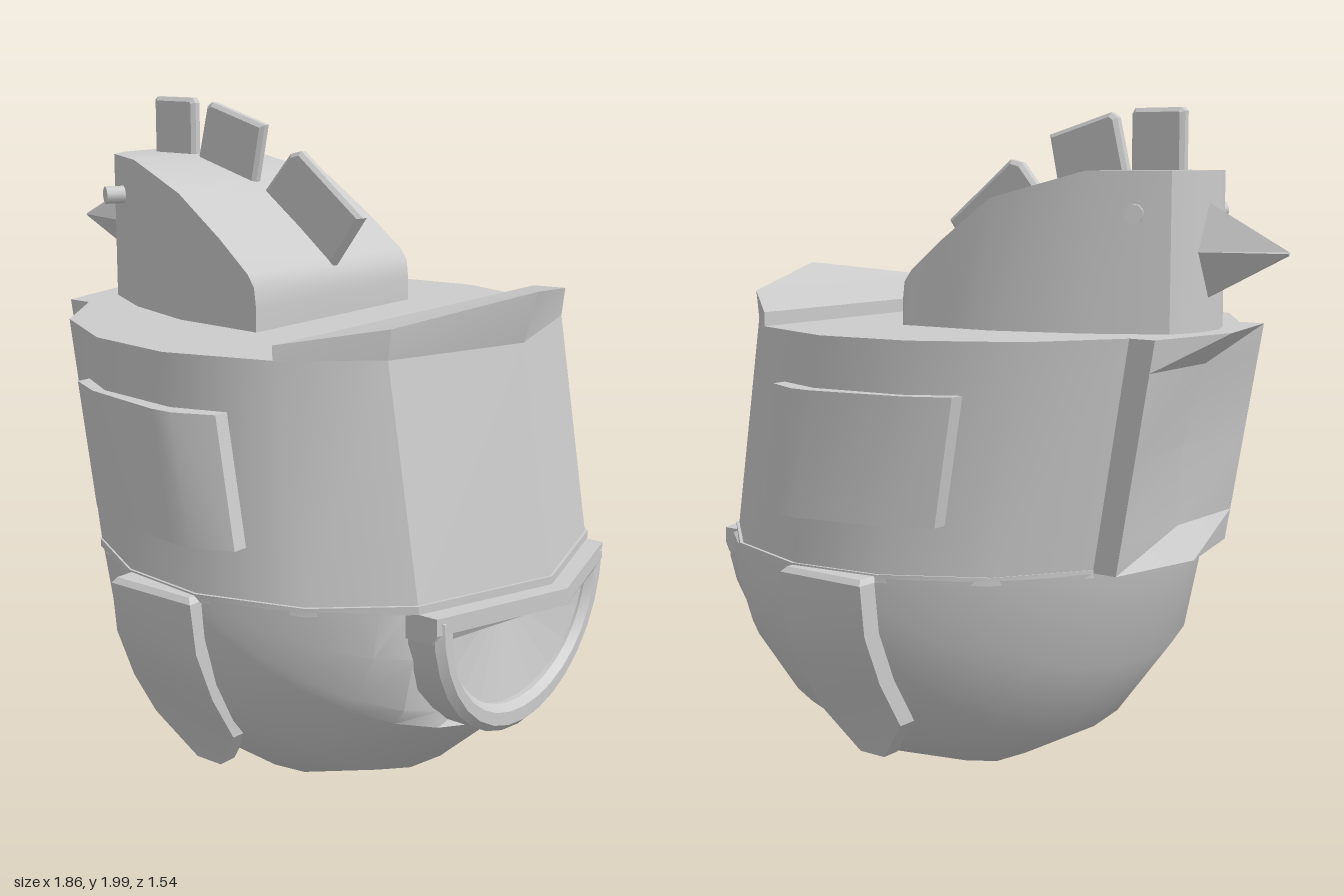
import * as THREE from 'three';
import { toCreasedNormals } from 'three/addons/utils/BufferGeometryUtils.js';
import { ParametricGeometry } from 'three/addons/geometries/ParametricGeometry.js';

const grey = new THREE.MeshStandardMaterial({ color: 0xcccccc });
const thin = new THREE.MeshStandardMaterial({ color: 0xcccccc, side: THREE.DoubleSide });

// Closed solid through matching cross-sections, capped at both ends, facing outward
function loft(rings, crease = 0.5) {
  const n = rings[0].length;
  const tris = [];
  const mid = (ring) => [0, 1, 2].map((k) => ring.reduce((s, p) => s + p[k], 0) / n);
  const first = rings[0], last = rings[rings.length - 1];
  const c0 = mid(first), c1 = mid(last);
  for (let j = 0; j < n; j++) {
    const k = (j + 1) % n;
    for (let i = 0; i + 1 < rings.length; i++) {
      const a = rings[i], b = rings[i + 1];
      tris.push([a[j], a[k], b[k]], [a[j], b[k], b[j]]);
    }
    tris.push([c0, first[k], first[j]], [c1, last[j], last[k]]);
  }
  const v = (p) => new THREE.Vector3(...p);
  const volume = tris.reduce((s, [a, b, c]) => s + v(a).dot(v(b).cross(v(c))), 0);
  if (volume < 0) tris.forEach((t) => t.reverse());
  const geo = new THREE.BufferGeometry();
  geo.setAttribute('position', new THREE.Float32BufferAttribute(tris.flat(2), 3));
  geo.computeVertexNormals();
  return toCreasedNormals(geo, crease);
}

export function createModel() {
  const model = new THREE.Group();
  const add = (name, geo, material = grey) => {
    const mesh = new THREE.Mesh(geo, material);
    mesh.name = name;
    model.add(mesh);
    return mesh;
  };

  // Upper body: a faceted drum leaning forward, with a ridge at the back
  const half = [[-0.62, 0.3], [-0.45, 0.54], [-0.18, 0.69], [0.1, 0.725], [0.4, 0.63], [0.62, 0.43]];
  const outline = [...half, [0.76, 0], ...half.map(([x, z]) => [x, -z]).reverse()];
  const bodyRing = (y, dx) => outline.map(([x, z]) => [x + dx, y, z]);
  add('upperBody', loft([bodyRing(0.735, 0.11), bodyRing(1.39, 0)]));

  // Raised tail with a flared rim
  const tailRing = (pts) => [...pts, ...pts.slice(0, 2).map(([x, y, z]) => [x, y, -z]).reverse()];
  add('tail', loft([
    tailRing([[0.4, 1.385, 0.63], [0.62, 1.385, 0.43], [0.76, 1.385, 0]]),
    tailRing([[0.4, 1.43, 0.63], [0.63, 1.47, 0.43], [0.8, 1.53, 0]]),
  ], 0.3));

  // Rounded belly, set back flat behind the rear scoop
  const angles = [180, 205, 230, 253, 276, 300, 324, 329, 345, 360];
  const bowl = new ParametricGeometry((u, v, out) => {
    const deg = angles[Math.round(u * 9)];
    const a = THREE.MathUtils.degToRad(deg);
    const s = Math.sin(v * Math.PI);
    const x = 0.15 + 0.73 * s * Math.cos(a);
    out.set(deg > 324 ? Math.min(x, 0.7) : x, 0.735 + 0.73 * s * Math.sin(a), -0.73 * Math.cos(v * Math.PI));
  }, 9, 16);
  add('belly', toCreasedNormals(bowl, 0.6), thin);

  // Thin seam between belly and upper body
  add('seam', loft([bodyRing(0.722, 0.112), bodyRing(0.745, 0.112)].map((ring) =>
    ring.map(([x, y, z]) => [0.15 + (x - 0.15) * 1.006, y, z * 1.012]))));

  // Breast plate with projecting lips above and below
  add('breastPlate', loft([
    [1.39, -0.7, -0.765], [1.3, -0.684, -0.68], [1.06, -0.642, -0.61],
    [0.83, -0.602, -0.6], [0.735, -0.585, -0.655],
  ].map(([y, x, tip]) => [[x + 0.1, y, 0.3], [x, y, 0.3], [tip, y, 0], [x, y, -0.3], [x + 0.1, y, -0.3]]), 0.3));

  // Head: vertical sides, roof sloping down to the rear
  add('head', loft([
    [-0.685, 0.06, 1.83], [-0.65, 0.145, 1.83], [-0.45, 0.26, 1.83], [-0.19, 0.345, 1.755],
    [-0.03, 0.352, 1.64], [0.08, 0.358, 1.55], [0.105, 0.36, 1.515], [0.112, 0.36, 1.46],
  ].map(([x, w, y]) => [[x, 1.385, w], [x, y, w], [x, y, -w], [x, 1.385, -w]]), 0.6));

  // Beak
  add('beak', loft([
    [[-0.66, 1.755, 0], [-0.66, 1.61, 0.065], [-0.66, 1.47, 0], [-0.66, 1.61, -0.065]],
    [[-0.93, 1.615, 0], [-0.93, 1.61, 0.005], [-0.93, 1.605, 0], [-0.93, 1.61, -0.005]],
  ], 0.2));

  // Comb: three thin bevelled plates
  [
    [[-0.62, 1.81], [-0.62, 1.99], [-0.61, 2], [-0.46, 2], [-0.45, 1.985], [-0.45, 1.81]],
    [[-0.44, 1.81], [-0.4, 1.975], [-0.38, 1.99], [-0.17, 1.93], [-0.21, 1.74]],
    [[-0.17, 1.735], [-0.07, 1.85], [-0.03, 1.86], [0.2, 1.68], [0.09, 1.53]],
  ].forEach((pts) => {
    const shape = new THREE.Shape(pts.map(([x, y]) => new THREE.Vector2(x, y)));
    const geo = new THREE.ExtrudeGeometry(shape, {
      depth: 0.018, bevelThickness: 0.01, bevelSize: 0.012, bevelOffset: -0.012, bevelSegments: 1,
    });
    add('combPlate', geo.translate(0, 0, -0.03));
  });

  // Rear scoop: half-round frame
  const arc = (cy, rx, ry) => Array.from({ length: 17 }, (_, i) => {
    const a = Math.PI + (i / 16) * Math.PI;
    return new THREE.Vector2(rx * Math.cos(a), cy + ry * Math.sin(a));
  });
  const frame = new THREE.Shape(arc(0.71, 0.42, 0.42));
  frame.holes.push(new THREE.Path(arc(0.66, 0.36, 0.31)));
  const frameGeo = new THREE.ExtrudeGeometry(frame, {
    depth: 0.1, bevelThickness: 0.02, bevelSize: 0.02, bevelOffset: -0.01, bevelSegments: 1,
  });
  add('scoopFrame', toCreasedNormals(frameGeo.rotateY(Math.PI / 2).translate(0.68, 0, 0), 0.5));

  // Pointed lip across the top of the scoop
  add('scoopLip', loft([[0.72, 0], [0.672, 0], [0.645, -0.07]].map(([y, dx]) => [
    [0.66, y, 0.43], [0.79 + dx * 0.2, y, 0.43], [0.925 + dx, y, 0],
    [0.79 + dx * 0.2, y, -0.43], [0.66, y, -0.43],
  ]), 0.3));

  // Fan of facets sunk into the scoop
  const fan = new THREE.ConeGeometry(0.36, 0.06, 10, 1, true, 0, Math.PI).toNonIndexed();
  fan.computeVertexNormals();
  fan.rotateZ(-Math.PI / 2).rotateX(0).translate(0, 0.65, 0);
  fan.scale(-1, 1, 1).translate(0.745, 0, 0);
  add('scoopFan', fan, thin);

  for (const s of [1, -1]) {
    // Wing panel wrapped around the upper side
    const wing = [[-0.3, 0.655], [-0.18, 0.715], [0.1, 0.77], [0.17, 0.768], [0.282, 0.72]];
    add('wingPanel', loft(wing.map(([x, z]) => [
      [x, 1.245, s * z], [x + 0.062, 0.887, s * z],
      [x + 0.062, 0.887, s * (z - 0.08)], [x, 1.245, s * (z - 0.08)],
    ]), 0.5));

    // Leg flap following the curve of the belly
    add('legFlap', loft([
      [0.74, 0.755, -0.06, 0.21], [0.725, 0.768, -0.07, 0.225], [0.58, 0.752, -0.07, 0.23],
      [0.43, 0.69, -0.07, 0.23], [0.29, 0.605, -0.07, 0.23], [0.16, 0.55, 0.04, 0.13],
    ].map(([y, z, x0, x1]) => [
      [x0, y, s * z], [x1, y, s * z], [x1, y, s * (z - 0.06)], [x0, y, s * (z - 0.06)],
    ]), 0.5));

    // Eye peg, square to the cheek
    const eye = add('eye', new THREE.CylinderGeometry(0.027, 0.027, 0.08, 10));
    eye.position.set(-0.572, 1.715, s * 0.21);
    eye.quaternion.setFromUnitVectors(new THREE.Vector3(0, 1, 0), new THREE.Vector3(-0.5, 0, s * 0.87).normalize());
  }
  return model;
}
